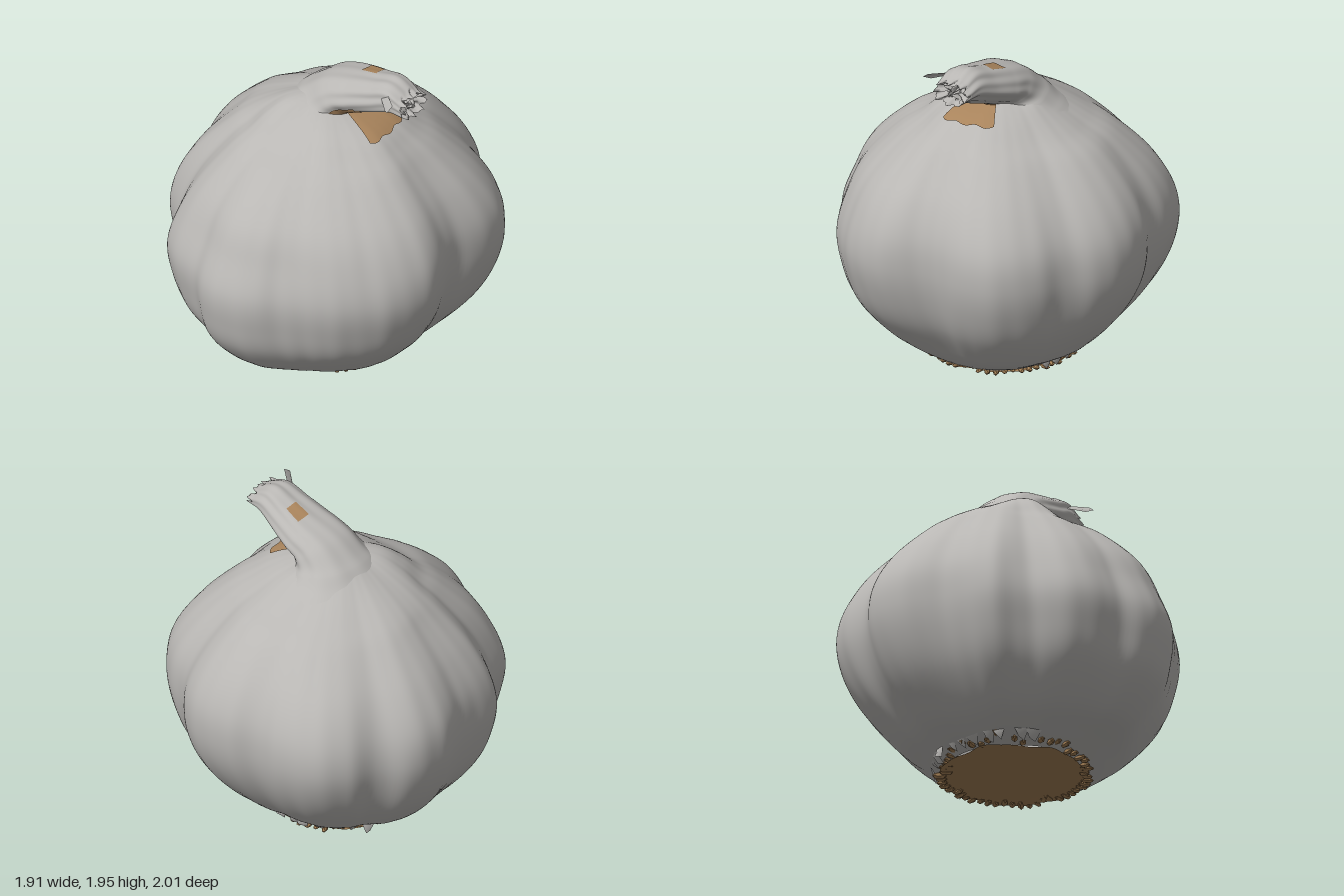
import * as THREE from 'three';
import { mergeVertices } from 'three/addons/utils/BufferGeometryUtils.js';

const TAU = Math.PI * 2, rad = Math.PI / 180;
const material = (name, color) => {
  const m = new THREE.MeshStandardMaterial({ color, side: THREE.DoubleSide });
  m.name = name;
  return m;
};
const skin = material('paperySkin', 0xb9b7b4);
const tan = material('driedTan', 0xa9845c);
const root = material('rootBrown', 0xa37f55);

// Seeded noise
let seed = 7;
const rnd = () => (seed = (seed * 16807) % 2147483647) / 2147483647;

// Clove outline seen from above: angle in degrees, radius
const outline = [
  [0, .885], [12, .97], [25, .99], [41, .965], [54, .945], [62, .922], [71, .93], [82, .98], [90, .995],
  [99, .985], [108, .935], [118, .96], [130, .945], [142, .87], [156, .93], [175, .885], [191, .975],
  [203, 1], [216, .95], [225, 1.015], [238, 1.04], [251, .99], [261, .945], [270, .99], [279, 1.01],
  [290, 1.015], [304, .96], [319, 1.02], [332, 1.03], [341, .98], [352, .89],
];
const knot = i => {
  const n = outline.length, turn = Math.floor(i / n), [a, r] = outline[i - turn * n];
  return [a + turn * 360, r];
};
function outlineRadius(a) {
  const d = (((a / rad) % 360) + 360) % 360;
  let i = 0;
  while (i < outline.length - 1 && outline[i + 1][0] <= d) i++;
  const [[ap, rp], [a0, r0], [a1, r1], [an, rn]] = [knot(i - 1), knot(i), knot(i + 1), knot(i + 2)];
  const w = a1 - a0, t = (d - a0) / w, t2 = t * t, t3 = t2 * t;
  const m0 = w * (r1 - rp) / (a1 - ap), m1 = w * (rn - r0) / (an - a0);
  return (2 * t3 - 3 * t2 + 1) * r0 + (t3 - 2 * t2 + t) * m0 + (3 * t2 - 2 * t3) * r1 + (t3 - t2) * m1;
}

// Side profiles every 45 degrees, from left through front: radius factors at shared heights
const heights = [.03, .1, .2, .4, .6, .8, 1, 1.2, 1.4, 1.5, 1.6, 1.68, 1.72];
const profiles = [
  [.455, .56, .667, .847, .952, 1, .984, .878, .688, .571, .413, .127, .03],
  [.42, .56, .71, .89, .97, 1, .95, .84, .63, .48, .34, .14, .03],
  [.384, .556, .768, .939, .995, 1, .919, .818, .606, .424, .283, .152, .03],
  [.40, .56, .72, .89, .97, 1, .93, .80, .605, .48, .37, .24, .04],
  [.419, .565, .70, .869, .963, 1, .974, .848, .649, .534, .356, .178, .03],
  [.42, .54, .68, .85, .955, 1, .97, .86, .66, .515, .36, .22, .04],
  [.422, .523, .673, .844, .955, 1, .985, .889, .714, .543, .372, .271, .05],
  [.44, .58, .73, .89, .97, 1, .97, .85, .665, .53, .38, .18, .03],
].map(rs => new THREE.SplineCurve(rs.map((r, i) => new THREE.Vector2(r, heights[i]))));

function bulb(a, v) {
  const sector = ((a / TAU * 8) % 8 + 8) % 8, i = Math.floor(sector);
  const mix = Math.sin((sector - i) * Math.PI / 2) ** 2;
  const p = profiles[i].getPoint(v).lerp(profiles[(i + 1) % 8].getPoint(v), mix);
  const lobe = .25 + .75 * Math.sin(Math.PI * THREE.MathUtils.clamp(p.y / 1.72, 0, 1));
  const wrinkle = .002 * Math.sin(a * 23 + p.y * 2) + .0015 * Math.sin(a * 41 - p.y * 3);
  const r = p.x * (.965 + (outlineRadius(a) - .965) * lobe + wrinkle);
  return new THREE.Vector3(r * Math.cos(a), p.y, r * Math.sin(a));
}

// Stem sections: x, y, z, half width, half thickness, tilt in degrees
const sections = [
  [0, 1.50, -.05, .45, .45, 0], [.01, 1.58, -.06, .335, .30, 5], [.025, 1.655, -.07, .245, .205, 14],
  [.1, 1.73, -.07, .2, .145, 40], [.22, 1.775, -.07, .18, .12, 62], [.36, 1.82, -.06, .15, .11, 70],
  [.49, 1.86, -.05, .125, .1, 76], [.6, 1.84, -.04, .11, .065, 80],
];
const spine = new THREE.CatmullRomCurve3(sections.map(s => new THREE.Vector3(s[0], s[1], s[2])));
const shape = new THREE.CatmullRomCurve3(sections.map(s => new THREE.Vector3(s[3], s[4], s[5])));

function stem(a, v, scale = 1) {
  const c = spine.getPoint(v), s = shape.getPoint(v), t = s.z * rad;
  const fold = scale * (1 + v * (.05 * Math.sin(a * 5 + v * 3) + .035 * Math.sin(a * 11 - v * 4)));
  const x = Math.cos(a) * s.y * fold, w = Math.sin(a) * s.x * fold;
  const frayed = v > .97 ? .018 * Math.sin(a * 9) + .012 * Math.sin(a * 17) : 0;
  return new THREE.Vector3(c.x + x * Math.cos(t) + frayed, c.y - x * Math.sin(t), c.z + w);
}

// Surface over a range of angles (u) and lengths (v)
function surface(fn, nu, nv, u0 = 0, u1 = TAU, v0 = 0, v1 = 1) {
  const pos = [], idx = [];
  for (let j = 0; j <= nv; j++) for (let i = 0; i <= nu; i++) {
    const p = fn(u0 + (u1 - u0) * i / nu, v0 + (v1 - v0) * j / nv);
    pos.push(p.x, p.y, p.z);
    if (i < nu && j < nv) {
      const k = j * (nu + 1) + i, up = k + nu + 1;
      idx.push(k, up, k + 1, k + 1, up, up + 1);
    }
  }
  let g = new THREE.BufferGeometry();
  g.setAttribute('position', new THREE.Float32BufferAttribute(pos, 3));
  g.setIndex(idx);
  g = mergeVertices(g, 1e-5);
  g.computeVertexNormals();
  return g;
}

// Thin pointed scrap of skin through a few corners
function scrap(points) {
  const g = new THREE.BufferGeometry().setFromPoints(points.map(p => new THREE.Vector3(...p)));
  g.setIndex(points.slice(2).flatMap((_, i) => [0, i + 1, i + 2]));
  g.computeVertexNormals();
  return g;
}

export function createModel() {
  const model = new THREE.Group();
  model.name = 'garlicBulb';
  const add = (name, geo, mat) => {
    const m = new THREE.Mesh(geo, mat);
    m.name = name;
    model.add(m);
  };

  // Cloves wrapped in skin, and the bent neck
  add('bulb', surface(bulb, 240, 90), skin);
  add('stem', surface(stem, 80, 60), skin);

  // Frayed, hollow cut end
  add('stemEnd', surface((a, v) => {
    const p = stem(a, 1, 1 - v);
    p.x += -.05 * Math.sin(v * 3) + (v > 0 && v < 1 ? .02 * Math.sin(a * 7 + v * 9) : 0);
    return p;
  }, 40, 5), skin);
  add('stemFlap', scrap([[.42, 1.88, .04], [.47, 1.91, .04], [.58, 1.92, .13], [.57, 1.89, .17], [.53, 1.87, .14]]), skin);
  add('stemShred', scrap([[.5, 1.93, -.1], [.5, 1.92, 0], [.59, 1.88, .02], [.61, 1.9, -.07]]), skin);

  // Dried patches under and on top of the neck
  add('patchUnderStem', surface((a, v) => stem(a, v, 1.04), 16, 10, -.3, 1.2, .36, .6), tan);
  add('patchOnShoulder', surface((a, v) => {
    const p = bulb(a, v + .004 * Math.sin(a * 21));
    p.y += .012;
    return p;
  }, 20, 8, -.48, .3, .808, .91), tan);
  add('patchOnStem', surface((a, v) => stem(a, v, 1.03), 6, 6, Math.PI + .06, Math.PI + .55, .6, .7), tan);

  // Root plate with a slightly hollow middle
  add('rootPlate', surface((a, v) => {
    const r = .42 * v * (1 + .03 * Math.sin(a * 7) + .02 * Math.sin(a * 13));
    const y = .045 - .025 * v * v + .004 * Math.sin(a * 5 + v * 12) * v;
    return new THREE.Vector3(r * Math.cos(a), y, r * Math.sin(a) - .02);
  }, 64, 10), root);

  // Ring of root stubs, reaching higher at the front right
  const stubs = new THREE.Group();
  stubs.name = 'rootStubs';
  model.add(stubs);
  const stubGeo = new THREE.IcosahedronGeometry(1, 0);
  for (let i = 0; i < 54; i++) {
    const a = i / 54 * TAU, high = Math.max(0, Math.cos(a - 2.5)), r = .385 + rnd() * .05 + high * .04;
    const m = new THREE.Mesh(stubGeo, root);
    m.name = 'rootStub';
    m.scale.set(.03 + rnd() * .02, .013 + rnd() * .009, .02);
    m.position.set(r * Math.cos(a), .025 + high * .06 * rnd(), r * Math.sin(a) - .02);
    m.rotation.y = -a;
    stubs.add(m);
  }

  // Torn skin flakes around the root
  for (let i = 0; i < 16; i++) {
    const a = 2.3 + (i + rnd() * .6) / 16 * 3, w = .05 + rnd() * .05, out = .47 + rnd() * .05;
    const at = (r, b, y) => [r * Math.cos(b), y, r * Math.sin(b)];
    add('skinFlake', scrap([
      at(.5, a - w, .085), at(.5, a + w, .085), at(out, a + w * .5, .03 + rnd() * .03), at(out - .03, a - w * .4, .025),
    ]), skin);
  }
  return model;
}
